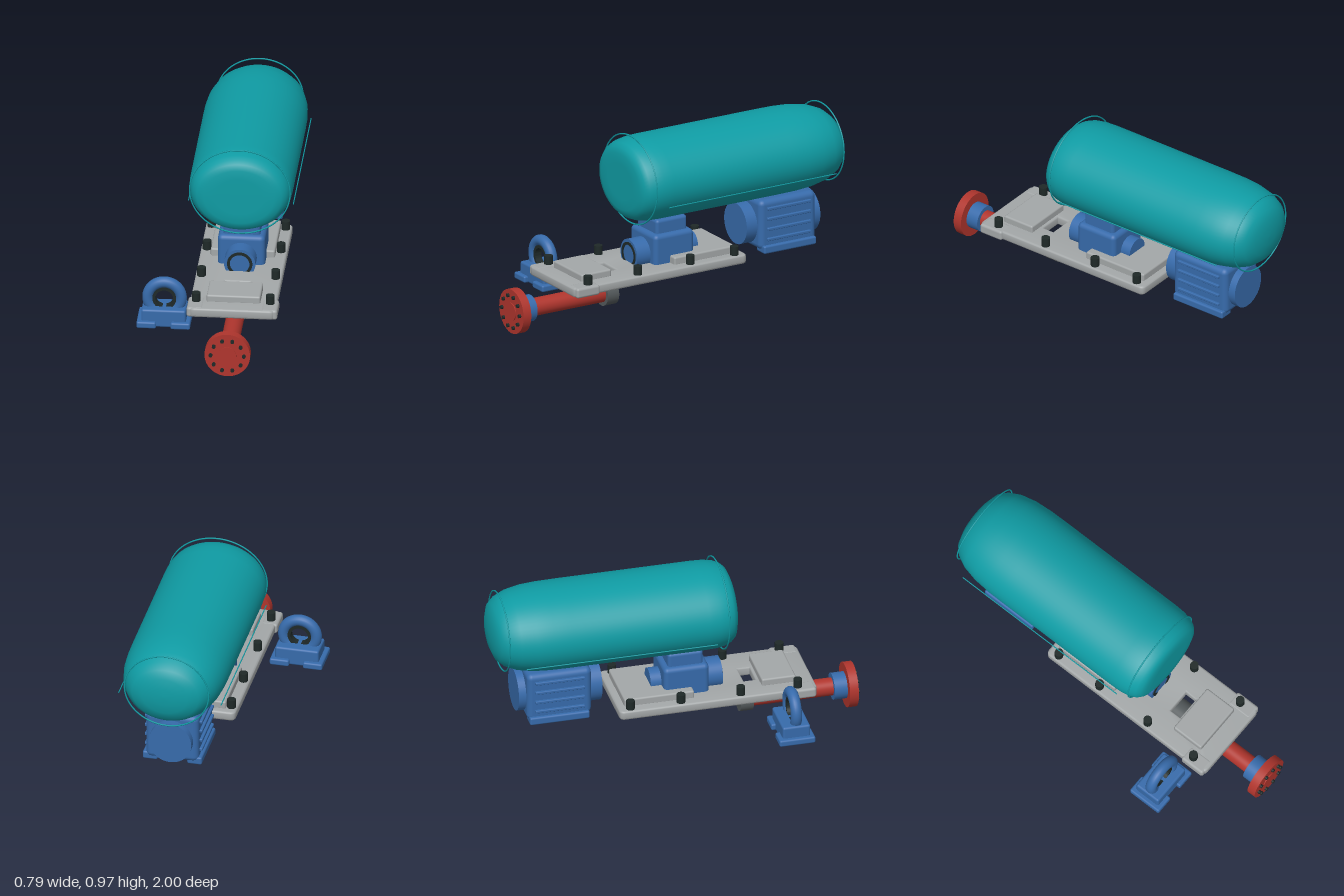
import * as THREE from 'three';
import { RoundedBoxGeometry } from 'three/addons/geometries/RoundedBoxGeometry.js';
import { toCreasedNormals } from 'three/addons/utils/BufferGeometryUtils.js';

const material = (name, color) => {
  const m = new THREE.MeshStandardMaterial({ color });
  m.name = name;
  return m;
};

export function createModel() {
  const model = new THREE.Group();
  model.name = 'tankAndPumpUnit';
  const teal = material('teal', 0x0f9ca4);
  const blue = material('blue', 0x376bab);
  const grey = material('light grey', 0xa3a7a8);
  const red = material('red', 0xaf352d);
  const black = material('black', 0x1f2928);
  const darkGrey = material('dark grey', 0x555b5d);
  const CX = 0.115; // shared axis of the unit

  const add = (name, geometry, mat) => {
    const mesh = new THREE.Mesh(geometry, mat);
    mesh.name = name;
    model.add(mesh);
    return mesh;
  };
  // Rounded box from its limits on each axis
  const box = (name, mat, [x0, x1], [y0, y1], [z0, z1], r = 0.012) => {
    const g = new RoundedBoxGeometry(x1 - x0, y1 - y0, z1 - z0, 3, r);
    add(name, g, mat).position.set((x0 + x1) / 2, (y0 + y1) / 2, (z0 + z1) / 2);
  };
  // Cylinder along z
  const rod = (name, mat, x, y, z0, z1, r, sides = 40) => {
    const g = new THREE.CylinderGeometry(r, r, z1 - z0, sides).rotateX(Math.PI / 2);
    add(name, g, mat).position.set(x, y, (z0 + z1) / 2);
  };
  // Flat annulus with thickness along z
  const annulus = (name, mat, x, y, z0, z1, outer, inner) => {
    const s = new THREE.Shape().absarc(0, 0, outer, 0, Math.PI * 2);
    s.holes.push(new THREE.Path().absarc(0, 0, inner, 0, Math.PI * 2, true));
    const g = new THREE.ExtrudeGeometry(s, { depth: z1 - z0, bevelEnabled: false, curveSegments: 40 });
    add(name, toCreasedNormals(g, 0.6), mat).position.set(x, y, z0);
  };

  // Oval tank: radius fraction and z along the axis
  const profile = [[0, -1], [0.2, -0.999], [0.45, -0.99], [0.66, -0.97], [0.79, -0.935], [0.9, -0.875],
    [0.97, -0.79], [0.995, -0.7], [1, -0.6], [1, 0.14], [0.99, 0.2], [0.955, 0.25],
    [0.9, 0.28], [0.82, 0.301], [0.68, 0.313], [0.45, 0.314], [0, 0.314]];
  const tank = new THREE.LatheGeometry(profile.map(([r, z]) => new THREE.Vector2(r, z)), 64)
    .rotateX(Math.PI / 2).scale(0.274, 0.225, 1);
  add('tank', tank, teal).position.set(CX, 0.725, 0);

  // Thin hoops around the tank ends
  for (const [name, z, rx, ry] of [['frontHoop', 0.248, 0.266, 0.241], ['rearHoop', -0.937, 0.228, 0.21]]) {
    const pts = Array.from({ length: 48 }, (_, i) => {
      const a = i / 48 * Math.PI * 2;
      return new THREE.Vector3(CX + rx * Math.cos(a), 0.727 + ry * Math.sin(a), z);
    });
    add(name, new THREE.TubeGeometry(new THREE.CatmullRomCurve3(pts, true), 96, 0.004, 6, true), teal);
  }
  // Side wires
  for (const s of [-1, 1]) rod('sideWire', teal, CX + s * 0.277, 0.635, -0.86, 0.18, 0.003, 8);

  // Base plate with rectangular window
  const outline = new THREE.Shape();
  const [px, pf, pb, r] = [0.218, -0.725, 0.328, 0.02];
  outline.moveTo(-px + r, pf).lineTo(px - r, pf).quadraticCurveTo(px, pf, px, pf + r)
    .lineTo(px, pb - r).quadraticCurveTo(px, pb, px - r, pb)
    .lineTo(-px + r, pb).quadraticCurveTo(-px, pb, -px, pb - r)
    .lineTo(-px, pf + r).quadraticCurveTo(-px, pf, -px + r, pf);
  outline.holes.push(new THREE.Path([[-0.075, -0.45], [-0.075, -0.365], [0.075, -0.365], [0.075, -0.45]]
    .map(([x, y]) => new THREE.Vector2(x, y))));
  const plate = new THREE.ExtrudeGeometry(outline,
    { depth: 0.03, bevelThickness: 0.01, bevelSize: 0.01, bevelSegments: 3, curveSegments: 6 });
  add('basePlate', toCreasedNormals(plate.rotateX(-Math.PI / 2), 0.6), grey).position.set(CX, 0.228, 0);
  box('frontPad', grey, [-0.026, 0.258], [0.26, 0.305], [0.455, 0.64], 0.01);
  box('pumpPad', grey, [-0.055, 0.285], [0.26, 0.308], [-0.3, 0.08], 0.01);
  for (const s of [-1, 1]) {
    const x = CX + s * 0.196;
    box('plateCornerBlock', grey, [x - 0.044, x + 0.044], [0.214, 0.27], [0.585, 0.728], 0.014);
    for (const z of [0.635, 0.325, 0, -0.275]) {
      add('plateBolt', new THREE.CylinderGeometry(0.023, 0.023, 0.055, 20), black).position.set(x, 0.289, z);
    }
  }

  // Pump between plate and tank
  box('pumpBody', blue, [-0.01, 0.24], [0.2, 0.43], [-0.072, 0.174], 0.025);
  box('pumpBase', blue, [-0.02, 0.25], [0.195, 0.25], [-0.075, 0.177], 0.02);
  box('pumpCollar', blue, [0.017, 0.213], [0.41, 0.505], [-0.045, 0.147], 0.018);
  rod('pumpInlet', blue, CX, 0.31, 0.16, 0.258, 0.083);
  annulus('inletSeal', black, CX, 0.31, 0.25, 0.262, 0.067, 0.052);
  rod('pumpRearStub', blue, CX, 0.31, -0.13, -0.06, 0.066);

  // Finned motor below the tank's rear
  box('motorBody', blue, [-0.027, 0.257], [0.235, 0.51], [-0.82, -0.47], 0.03);
  rod('motorFrontCap', blue, CX, 0.362, -0.48, -0.405, 0.113);
  rod('motorRearCap', blue, CX, 0.362, -0.86, -0.81, 0.116);
  for (const s of [-1, 1]) {
    const x = CX + s * 0.145, f = CX + s * 0.12;
    for (let i = 0; i < 4; i++) {
      const y = 0.463 - i * 0.0565;
      box('motorFin', blue, [x - 0.012, x + 0.01], [y - 0.008, y + 0.008], [-0.78, -0.51], 0.004);
    }
    box('motorFoot', blue, [f - 0.04, f + 0.04], [0.218, 0.262], [-0.81, -0.485], 0.01);
  }

  // Lifting eye on its own base
  const EX = -0.255;
  box('eyeBlock', blue, [EX - 0.118, EX + 0.118], [0.1, 0.2], [0.48, 0.63], 0.012);
  for (const s of [-1, 1]) {
    const x = EX + s * 0.09;
    box('eyeFoot', blue, [x - 0.052, x + 0.052], [0.1, 0.137], [0.457, 0.652], 0.01);
  }
  add('liftingEye', new THREE.TorusGeometry(0.088, 0.03, 20, 56), blue).position.set(EX, 0.246, 0.56);
  annulus('eyeLiner', black, EX, 0.246, 0.54, 0.58, 0.063, 0.047);

  // Red pipe with flange
  const PY = 0.125;
  rod('pipe', red, CX, PY, 0.42, 0.88, 0.048);
  rod('pipeEndCap', darkGrey, CX, PY, 0.36, 0.43, 0.068);
  rod('pipeCollar', blue, CX, PY, 0.87, 0.945, 0.072);
  rod('flange', red, CX, PY, 0.94, 0.988, 0.121, 56);
  rod('flangeHub', red, CX, PY, 0.98, 0.993, 0.048);
  for (let i = 0; i < 10; i++) {
    const a = i * Math.PI / 5;
    rod('flangeBolt', black, CX + 0.088 * Math.cos(a), PY + 0.088 * Math.sin(a), 0.98, 1, 0.01, 16);
  }
  return model;
}
